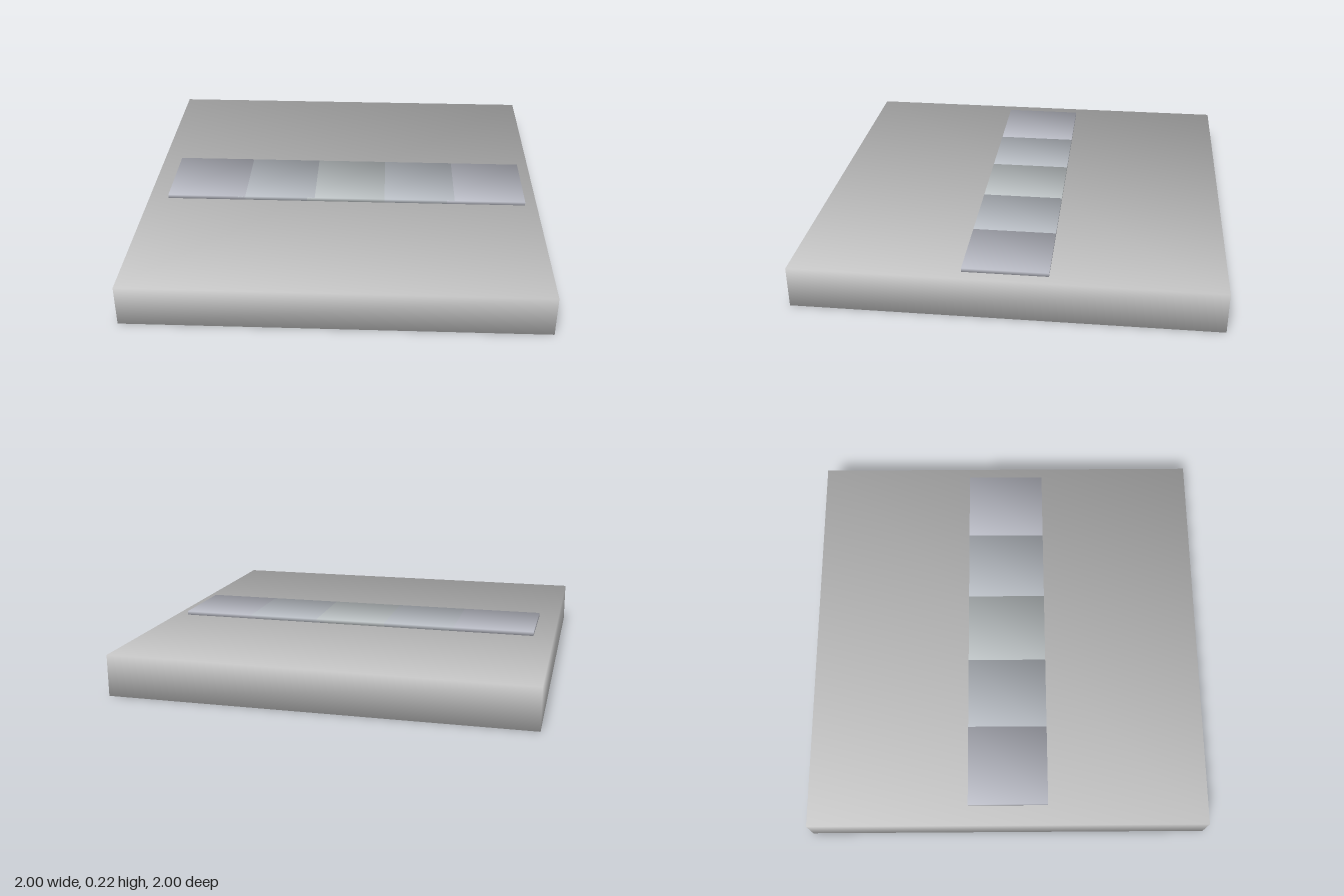
import * as THREE from 'three';

// Box whose corner normals are shared by all its faces, giving soft pillow-like shading
function softBox(name, w, h, d, color) {
  const geometry = new THREE.BoxGeometry(w, h, d);
  const { position, normal } = geometry.attributes;
  const n = new THREE.Vector3();
  for (let i = 0; i < position.count; i++) {
    n.set(Math.sign(position.getX(i)), Math.sign(position.getY(i)), Math.sign(position.getZ(i))).normalize();
    normal.setXYZ(i, n.x, n.y, n.z);
  }
  const mesh = new THREE.Mesh(geometry, new THREE.MeshStandardMaterial({ color }));
  mesh.name = name;
  return mesh;
}

export function createModel() {
  const model = new THREE.Group();
  model.name = 'tiledSlab';

  // Square base slab
  const slab = softBox('slab', 2, 0.2, 2, 0xcccccc);
  slab.position.y = 0.1;
  model.add(slab);

  // Row of five thin overlapping tiles; each sits a hair lower than the last
  const tiles = new THREE.Group();
  tiles.name = 'tiles';
  const tints = [0xc0c2cc, 0xc0c5cc, 0xc4cacc, 0xc0c5cc, 0xc0c2cc];
  tints.forEach((tint, i) => {
    const tile = softBox(`tile${i + 1}`, 0.4, 0.02, 0.4, tint);
    tile.position.set(-0.7 + i * 0.36, 0.21 - i * 0.0003, 0);
    tiles.add(tile);
  });
  model.add(tiles);

  return model;
}
